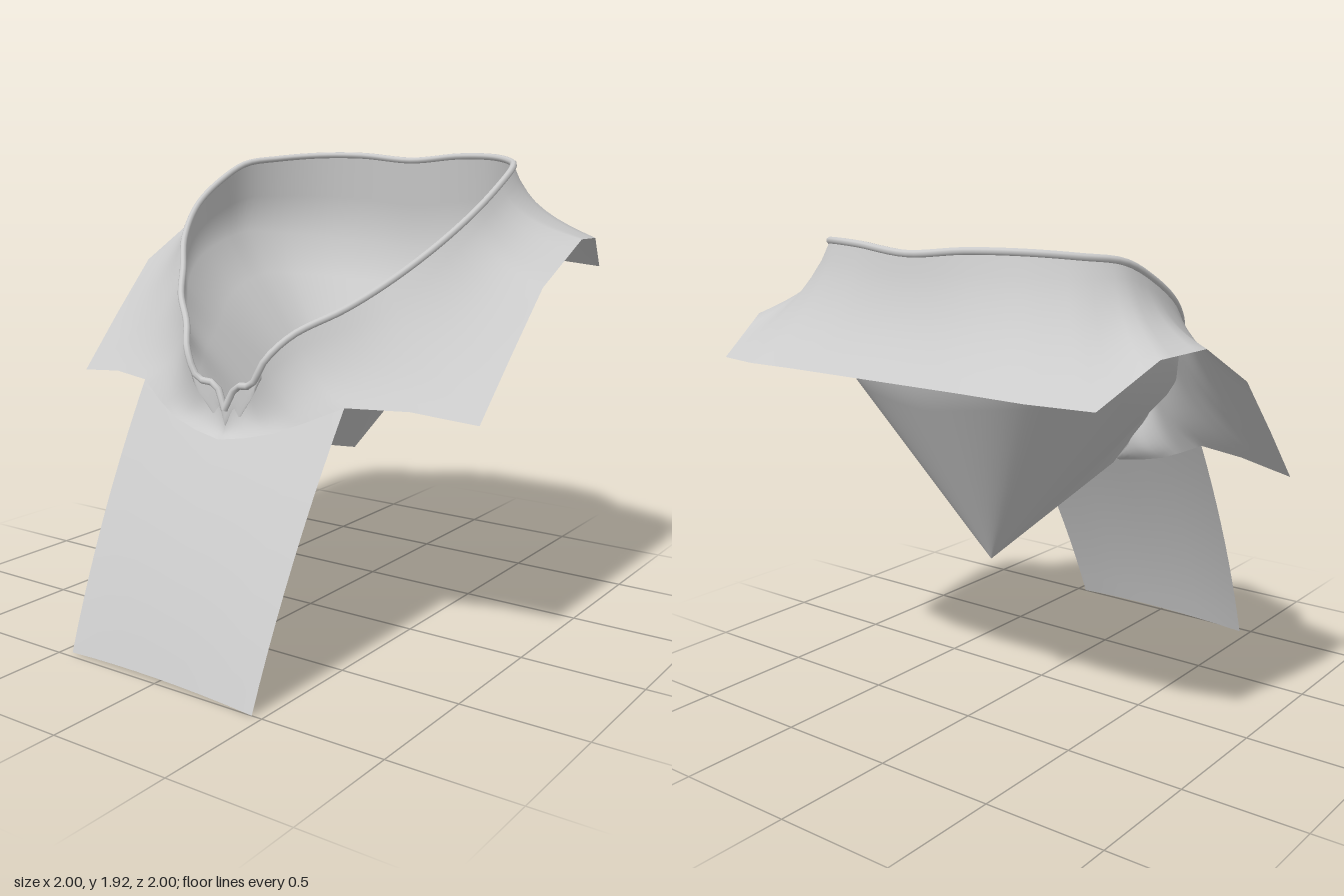
import * as THREE from 'three';

const V = (x, y, z) => new THREE.Vector3(x, y, z);

// Neck opening and outer hem, paired from centre back round to centre front (left half)
const neckHalf = [
  [0, 1.88, -0.79], [0.25, 1.9, -0.77], [0.45, 1.9, -0.7], [0.6, 1.885, -0.58], [0.68, 1.865, -0.45],
  [0.7, 1.8, -0.3], [0.685, 1.69, -0.1], [0.61, 1.56, 0.08], [0.5, 1.44, 0.22], [0.4, 1.35, 0.35],
  [0.26, 1.26, 0.48], [0.19, 1.17, 0.56], [0.13, 1.07, 0.57], [0.05, 1.05, 0.56], [0, 0.96, 0.57],
];
const hemHalf = [
  [0, 1.46, -1], [0.4, 1.46, -1], [0.65, 1.45, -0.97], [0.88, 1.44, -0.9], [0.96, 1.58, -0.65],
  [1, 1.59, -0.42], [0.99, 1.43, -0.1], [0.98, 1.2, 0.13], [0.97, 0.98, 0.34], [0.72, 1.01, 0.4],
  [0.49, 1.01, 0.48], [0.36, 0.95, 0.54], [0.24, 0.9, 0.58], [0.12, 0.87, 0.6], [0, 0.85, 0.61],
];

// Mirror a half outline into a run from the right front, round the back, to the left front
const mirrored = (half) => [
  ...half.slice(1).reverse().map(([x, y, z]) => V(-x, y, z)),
  ...half.map((p) => V(...p)),
];

// Smooth grid through rows of points
function grid(rows) {
  const w = rows[0].length, index = [];
  for (let r = 0; r < rows.length - 1; r++) {
    for (let c = 0; c < w - 1; c++) {
      const a = r * w + c, b = a + 1, d = a + w, e = d + 1;
      index.push(a, b, d, b, e, d);
    }
  }
  const g = new THREE.BufferGeometry().setFromPoints(rows.flat());
  g.setIndex(index);
  g.computeVertexNormals();
  return g;
}

export function createModel() {
  const model = new THREE.Group();
  const cloth = new THREE.MeshStandardMaterial({ color: 0xcccccc, side: THREE.DoubleSide });
  cloth.name = 'light grey cloth';
  const add = (name, geometry) => {
    const mesh = new THREE.Mesh(geometry, cloth);
    mesh.name = name;
    model.add(mesh);
  };

  const neckPoints = mirrored(neckHalf), hemPoints = mirrored(hemHalf);
  const neckCurve = new THREE.CatmullRomCurve3(neckPoints);
  const STEPS = 4, count = (neckPoints.length - 1) * STEPS;
  const neck = [], hem = [];
  for (let i = 0; i <= count; i++) {
    const k = Math.min(Math.floor(i / STEPS), hemPoints.length - 2);
    neck.push(neckCurve.getPoint(i / count));
    hem.push(hemPoints[k].clone().lerp(hemPoints[k + 1], i / STEPS - k));
  }

  // Yoke: sags slightly between the neck and the hem
  const yokeRows = [];
  for (let r = 0; r <= 8; r++) {
    const t = r / 8, sag = Math.sin(Math.PI * Math.pow(t, 0.8)) * 0.035;
    yokeRows.push(neck.map((p, i) => {
      const q = p.clone().lerp(hem[i], t);
      return V(q.x * (1 - sag), q.y - sag, q.z - sag * q.z * 0.8);
    }));
  }
  add('yoke', grid(yokeRows));

  // Front tab hanging from the middle of the yoke hem
  const tabTops = hemHalf.slice(10).map((p) => V(...p));
  const top = [...tabTops.map((p) => V(-p.x, p.y, p.z)), ...tabTops.slice(0, -1).reverse()];
  const tabRows = [];
  for (let r = 0; r <= 10; r++) {
    const t = r / 10, out = 1.25 * t - 0.25 * t * t;
    tabRows.push(top.map((p) => V(
      p.x * (1 - 0.07 * t),
      THREE.MathUtils.lerp(p.y, 0.015 - 0.06 * p.x * p.x, t),
      THREE.MathUtils.lerp(p.z, 0.985 + 0.03 * p.x, out),
    )));
  }
  add('frontTab', grid(tabRows));

  // Lining: a short wall under the neck, then a bag narrowing to a keel
  const apex = V(0, 0.63, -0.34), keelFront = V(0, 0.85, 0.55);
  const wall = neck.map((p) => {
    const f = THREE.MathUtils.clamp((0.57 - p.z) / 1.36, 0, 1);
    return V(p.x * (0.95 + 0.1 * f), p.y - 0.06 - 0.34 * f, p.z - 0.04 * f);
  });
  const keel = neck.map((p) =>
    apex.clone().lerp(keelFront, THREE.MathUtils.clamp((p.z - 0.1) / 0.46, 0, 1)));
  const between = (a, b, t) => a.map((p, i) => p.clone().lerp(b[i], t));
  add('lining', grid([
    neck, between(neck, wall, 0.5), wall,
    ...[0.2, 0.4, 0.6, 0.8, 1].map((t) => between(wall, keel, t)),
  ]));

  // Rolled edge round the neck
  add('neckRoll', new THREE.TubeGeometry(neckCurve, 120, 0.014, 8, false));

  return model;
}
